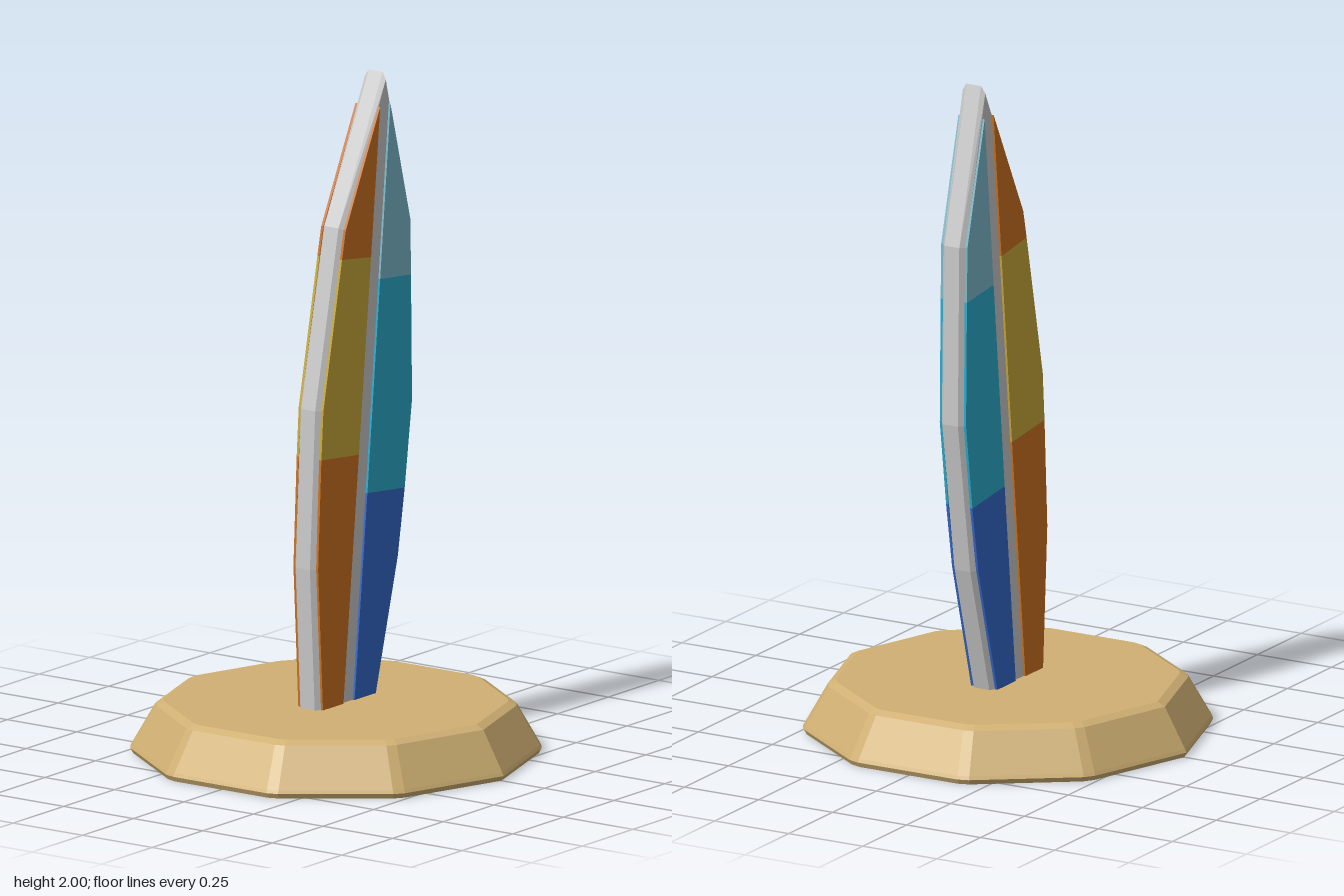
import * as THREE from 'three';

const mat = (name, color) => {
  const m = new THREE.MeshStandardMaterial({ color, flatShading: false });
  m.name = name;
  return m;
};

const shapeOf = (pts) => new THREE.Shape(pts.map(([x, y]) => new THREE.Vector2(x, y)));

// Decagon outline with its corners cut, except the two on the z axis
function decagon(r) {
  const corner = (i) => {
    const a = (i * Math.PI) / 5;
    return new THREE.Vector2(r * Math.sin(a), r * Math.cos(a));
  };
  const ring = [];
  for (let i = 0; i < 10; i++) {
    const c = corner(i);
    if (i % 5 === 0) ring.push(c);
    else ring.push(c.clone().lerp(corner(i - 1), 0.05), c.clone().lerp(corner(i + 1), 0.05));
  }
  return ring;
}

// Stack of decagon rings, capped at both ends, with hard edges
function baseGeometry(levels) {
  const rings = levels.map(([r, y]) => decagon(r).map((p) => new THREE.Vector3(p.x, y, p.y)));
  const n = rings[0].length;
  const pos = [];
  const tri = (...v) => v.forEach((p) => pos.push(p.x, p.y, p.z));
  const bottom = new THREE.Vector3(0, levels[0][1], 0);
  const top = new THREE.Vector3(0, levels[levels.length - 1][1], 0);
  for (let i = 0; i < n; i++) {
    const j = (i + 1) % n;
    for (let k = 0; k < rings.length - 1; k++) {
      const [a, b, c, d] = [rings[k][i], rings[k][j], rings[k + 1][j], rings[k + 1][i]];
      tri(a, b, c);
      tri(a, c, d);
    }
    tri(bottom, rings[0][j], rings[0][i]);
    tri(top, rings[rings.length - 1][i], rings[rings.length - 1][j]);
  }
  const g = new THREE.BufferGeometry();
  g.setAttribute('position', new THREE.Float32BufferAttribute(pos, 3));
  g.computeVertexNormals();
  return g;
}

export function createModel() {
  const model = new THREE.Group();
  const tan = mat('tan', 0xd0b073);
  const silver = mat('silver', 0xc9c9c9);
  const orange = mat('orange', 0xcb7220);
  const gold = mat('gold', 0xcaa93a);
  const blue = mat('blue', 0x3468ca);
  const cyan = mat('cyan', 0x2caccd);
  const paleBlue = mat('pale blue', 0x7dbacb);

  const add = (name, geometry, material, parent = model) => {
    const mesh = new THREE.Mesh(geometry, material);
    mesh.name = name;
    parent.add(mesh);
    return mesh;
  };

  // Ten-sided stand with sloping sides
  add('base', baseGeometry([[0.595, 0], [0.603, 0.015], [0.598, 0.025], [0.53, 0.143], [0.505, 0.155]]), tan);

  // Leaf-shaped blade with a chamfered rim
  const bladeOutline = [
    [-0.135, 0.08], [0.125, 0.08], [0.147, 0.15], [0.257, 0.54], [0.328, 1.0],
    [0.32, 1.54], [0.196, 2.0], [-0.022, 1.575], [-0.137, 1.05], [-0.163, 0.58],
  ];
  const blade = new THREE.ExtrudeGeometry(shapeOf(bladeOutline), {
    depth: 0.05, bevelEnabled: true, bevelThickness: 0.013, bevelSize: 0.015,
    bevelOffset: -0.015, bevelSegments: 1,
  });
  blade.translate(0, 0, -0.025);
  add('blade', blade, silver);

  // Coloured inlays on both faces, split by the bare middle rib
  const inlays = [
    ['lowerOrangeInlay', orange, [
      [-0.122, 0.1], [-0.03, 0.1], [0.052, 0.885], [-0.133, 0.905], [-0.149, 0.58]]],
    ['goldInlay', gold, [
      [-0.133, 0.905], [0.052, 0.885], [0.112, 1.465], [-0.031, 1.485], [-0.123, 1.05]]],
    ['upperOrangeInlay', orange, [
      [-0.031, 1.485], [0.112, 1.465], [0.157, 1.905], [-0.012, 1.57]]],
    ['blueInlay', blue, [
      [0.025, 0.1], [0.12, 0.1], [0.244, 0.545], [0.278, 0.742], [0.094, 0.762]]],
    ['cyanInlay', cyan, [
      [0.094, 0.762], [0.278, 0.742], [0.314, 1.0], [0.309, 1.374], [0.157, 1.39]]],
    ['paleBlueInlay', paleBlue, [
      [0.157, 1.39], [0.309, 1.374], [0.306, 1.54], [0.208, 1.905]]],
  ];
  for (const [side, z] of [['front', 0.0365], ['back', -0.0445]]) {
    const group = new THREE.Group();
    group.name = side + 'Inlays';
    model.add(group);
    for (const [name, material, pts] of inlays) {
      const plate = new THREE.ExtrudeGeometry(shapeOf(pts), { depth: 0.008, bevelEnabled: false });
      add(name, plate, material, group).position.z = z;
    }
  }
  return model;
}
